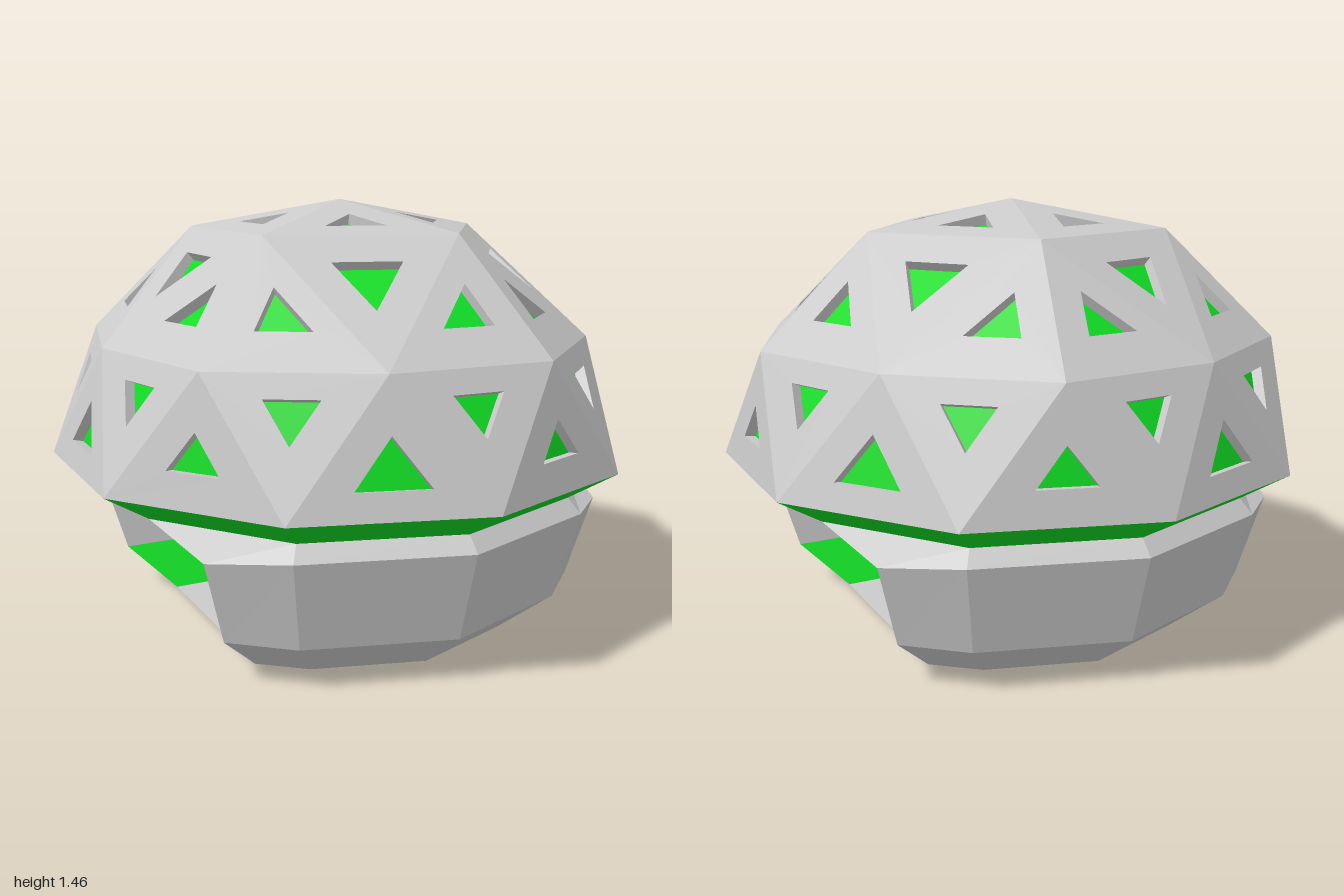
import * as THREE from 'three';

const GREY = new THREE.MeshStandardMaterial({ color: 0xcccccc, flatShading: true, side: THREE.DoubleSide });
const GREEN = new THREE.MeshStandardMaterial({ color: 0x10dd25, flatShading: true, side: THREE.DoubleSide });
const V = (x, y, z) => new THREE.Vector3(x, y, z);

// point on a ring at an angle in degrees (0 = +x, 90 = +z)
const polar = (r, deg, y) => {
  const a = THREE.MathUtils.degToRad(deg);
  return V(r * Math.cos(a), y, r * Math.sin(a));
};

// mesh from a list of convex polygons (corners counter-clockwise from outside)
function facets(name, polys, material) {
  const points = [];
  for (const p of polys)
    for (let i = 1; i < p.length - 1; i++) points.push(p[0], p[i], p[i + 1]);
  const geometry = new THREE.BufferGeometry().setFromPoints(points);
  geometry.computeVertexNormals();
  const mesh = new THREE.Mesh(geometry, material);
  mesh.name = name;
  return mesh;
}

// quads between a lower and an upper row of points, angle increasing
function strip(lower, upper, closed = false) {
  const n = lower.length, quads = [];
  for (let i = 0; i < (closed ? n : n - 1); i++) {
    const j = (i + 1) % n;
    quads.push([lower[j], lower[i], upper[i], upper[j]]);
  }
  return quads;
}

// geodesic dome: every triangle has a recessed triangular window
function dome() {
  const apex = V(0, 1.455, 0);
  const crown = k => polar(0.526, 72 * k, 1.36);
  const waist = k => polar(k % 2 ? 0.85 : 0.894, 36 * k, 1.0);
  const base = k => polar(1, 18 + 36 * k, 0.6);

  // three corners, weight of the first corner in the window centre, window size
  const faces = [];
  for (let k = 0; k < 5; k++) {
    const m = 2 * k;
    faces.push([apex, crown(k), crown(k + 1), 0.333, 0.32]);
    faces.push([waist(m + 1), crown(k), crown(k + 1), 0.333, 0.36]);
    faces.push([crown(k), waist(m), waist(m + 1), 0.39, 0.32]);
    faces.push([crown(k), waist(m + 9), waist(m), 0.39, 0.32]);
  }
  for (let k = 0; k < 10; k++) {
    faces.push([base(k), waist(k), waist(k + 1), 0.28, 0.31]);
    faces.push([waist(k), base(k + 9), base(k), k % 2 ? 0.333 : 0.37, k % 2 ? 0.37 : 0.3]);
  }

  const shell = [], panes = [];
  for (const [a, b, c, weight, size] of faces) {
    const mid = V(0, 0, 0).add(a).add(b).add(c).divideScalar(3);
    let tri = [a, b, c];
    const normal = V(0, 0, 0).crossVectors(b.clone().sub(a), c.clone().sub(a)).normalize();
    if (normal.dot(mid.clone().sub(V(0, 0.5, 0))) < 0) {
      tri = [a, c, b];
      normal.negate();
    }
    const rest = (1 - weight) / 2;
    const centre = V(0, 0, 0).addScaledVector(a, weight).addScaledVector(b, rest).addScaledVector(c, rest);
    const rim = tri.map(p => p.clone().sub(mid).multiplyScalar(size).add(centre));
    const deep = rim.map(p => p.clone().addScaledVector(normal, -0.035));
    for (let i = 0; i < 3; i++) {
      const j = (i + 1) % 3;
      shell.push([tri[i], tri[j], rim[j], rim[i]]);
      shell.push([rim[i], rim[j], deep[j], deep[i]]);
    }
    panes.push(deep);
  }
  const group = new THREE.Group();
  group.name = 'dome';
  group.add(facets('domeShell', shell, GREY), facets('windowPanes', panes, GREEN));
  return group;
}

// lower body: front and back bowls with an open passage along x
function lowerBody() {
  const group = new THREE.Group();
  group.name = 'lowerBody';
  const ring = (r, y) => Array.from({ length: 10 }, (_, k) => polar(r, 18 + 36 * k, y));
  const baseRing = ring(1, 0.6), neck = ring(0.84, 0.5);

  // ten-sided ring whose four side corners are pulled to the passage edge
  const cutRing = (r, y, x, z, cornerY = y) => ring(r, y).map((p, k) =>
    [0, 4, 5, 9].includes(k) ? V(Math.sign(p.x) * x, cornerY, Math.sign(p.z) * z) : p);
  const top = cutRing(0.885, 0.45, 0.725, 0.535, 0.43);
  const bend = cutRing(0.8, 0.15, 0.65, 0.49);
  const foot = cutRing(0.61, 0, 0.5, 0.375);

  group.add(facets('greenBand', strip(neck, baseRing, true), GREEN));
  group.add(facets('shelf', strip(top, neck, true), GREY));
  const corners = r => [r[0], r[4], r[5], r[9]];
  group.add(facets('passageCeiling', [corners(top)], GREY));
  group.add(facets('floorPlate', [corners(foot)], GREY));

  for (const [name, s] of [['front', 0], ['back', 5]]) {
    const half = r => r.slice(s, s + 5);
    const ends = r => [r[s + 4], r[s]];
    group.add(facets(name + 'Bowl', [
      ...strip(half(bend), half(top)), ...strip(half(foot), half(bend)),
    ], GREY));
    group.add(facets(name + 'UpperInnerWall', strip(ends(bend), ends(top)), GREY));
    group.add(facets(name + 'LowerInnerWall', strip(ends(foot), ends(bend)), GREEN));
  }
  return group;
}

export function createModel() {
  const model = new THREE.Group();
  model.name = 'geodesicPod';
  model.add(dome(), lowerBody());
  return model;
}
